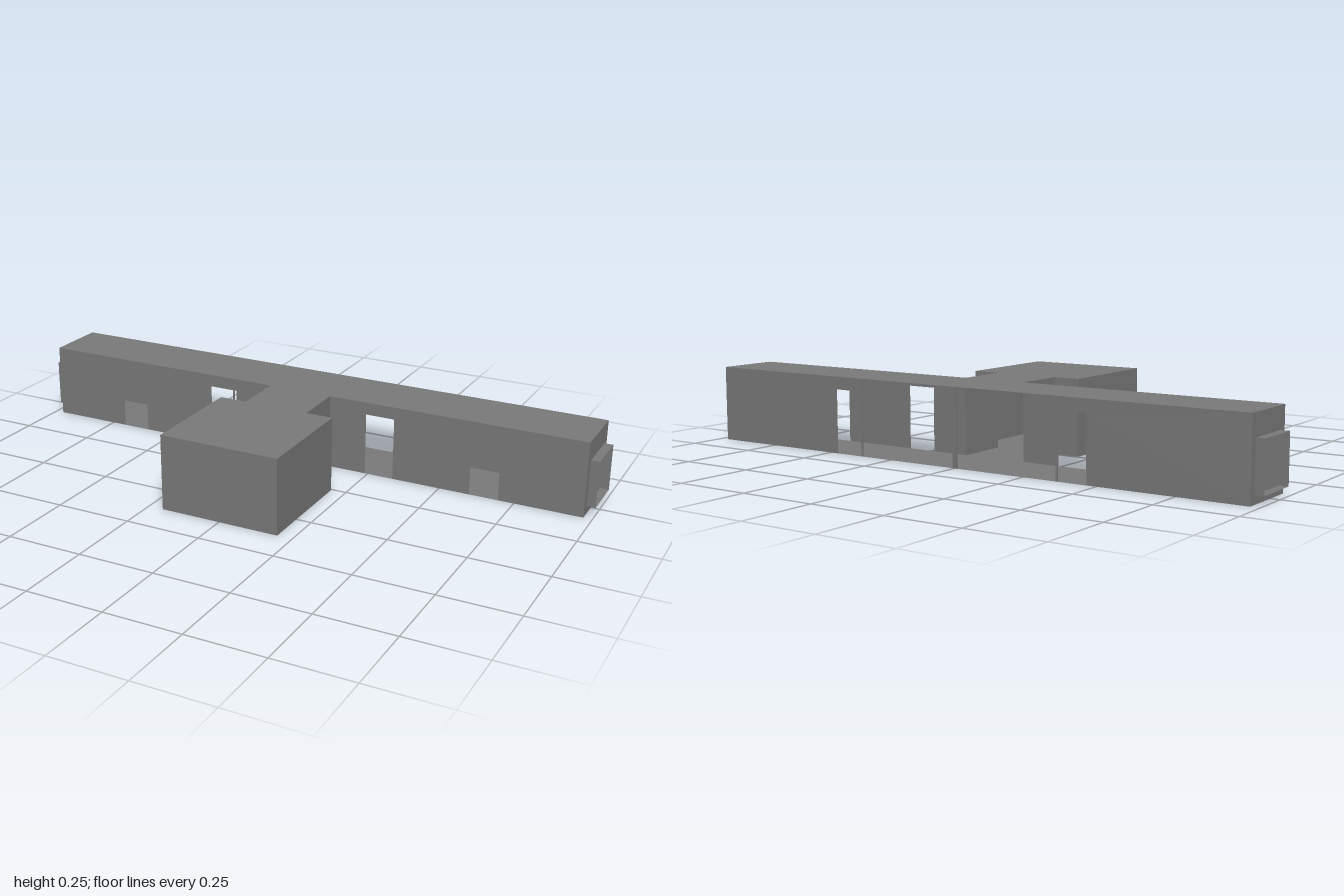
import * as THREE from 'three';

const H = 0.248, DOOR = 0.207;         // wall and door heights
const HALF = 0.972;                    // half length of the long hall
const BACK = -0.376, FRONT = -0.168;   // hall depth range
const NECK = 0.11, ROOM = 0.2, ROOM_BACK = 0.005, ROOM_FRONT = 0.377;

const material = new THREE.MeshStandardMaterial({
  color: 0x7b7b7b, flatShading: true, side: THREE.DoubleSide,
});

function outline(points) {
  return new THREE.Shape(points.map(([x, y]) => new THREE.Vector2(x, y)));
}

function mesh(name, geometry) {
  const m = new THREE.Mesh(geometry, material);
  m.name = name;
  return m;
}

// Upright sheet facing z, from x0 to x1, with door notches cut up from the floor
function wallX(name, x0, x1, z, doors = []) {
  const pts = [[x0, 0]];
  for (const [a, b] of doors) pts.push([a, 0], [a, DOOR], [b, DOOR], [b, 0]);
  pts.push([x1, 0], [x1, H], [x0, H]);
  const m = mesh(name, new THREE.ShapeGeometry(outline(pts)));
  m.position.z = z;
  return m;
}

// Upright sheet facing x, from z0 to z1, with an optional rectangular opening
function wallZ(name, z0, z1, x, hole) {
  const shape = outline([[-z1, 0], [-z0, 0], [-z0, H], [-z1, H]]);
  if (hole) {
    const { near, far, low, high } = hole;
    shape.holes.push(outline([[-near, low], [-near, high], [-far, high], [-far, low]]));
  }
  const m = mesh(name, new THREE.ShapeGeometry(shape).rotateY(Math.PI / 2));
  m.position.x = x;
  return m;
}

// T-shaped horizontal sheet for floor and roof
function slab(name, y) {
  const right = [
    [HALF, BACK], [HALF, FRONT], [NECK, FRONT], [NECK, ROOM_BACK],
    [ROOM, ROOM_BACK], [ROOM, ROOM_FRONT],
  ];
  const left = right.map(([x, z]) => [-x, z]).reverse();
  const shape = outline([...right, ...left].map(([x, z]) => [x, -z]));
  const m = mesh(name, new THREE.ShapeGeometry(shape).rotateX(-Math.PI / 2));
  m.position.y = y;
  return m;
}

function post(name, x, width, depth) {
  const m = mesh(name, new THREE.BoxGeometry(width, H, depth));
  m.position.set(x, H / 2, BACK + depth / 2);
  return m;
}

// Everything that exists once on each side
function sideHalf() {
  const half = new THREE.Group();
  const hole = { near: -0.195, far: -0.35, low: 0.027, high: 0.18 };
  half.add(
    wallX('hallFrontWall', NECK, HALF, FRONT, [[0.24, 0.338], [0.602, 0.698]]),
    wallX('hallBackWall', 0.364, HALF, BACK, [[0.37, 0.468]]),
    wallZ('hallEndWall', BACK, FRONT, HALF, hole),
    wallZ('neckWall', FRONT, ROOM_BACK, NECK),
    wallX('roomBackWall', NECK, ROOM, ROOM_BACK),
    wallZ('roomSideWall', ROOM_BACK, ROOM_FRONT, ROOM),
    post('sidePost', 0.367, 0.006, 0.004),
  );

  // Short open sleeve around the end opening
  const sleeve = new THREE.Group();
  sleeve.name = 'endSleeve';
  const depth = 1 - HALF, w = hole.near - hole.far, h = hole.high - hole.low;
  for (const y of [hole.low, hole.high]) {
    const m = mesh('sleevePlate', new THREE.PlaneGeometry(depth, w).rotateX(-Math.PI / 2));
    m.position.set(HALF + depth / 2, y, (hole.near + hole.far) / 2);
    sleeve.add(m);
  }
  for (const z of [hole.near, hole.far]) {
    const m = mesh('sleeveSide', new THREE.PlaneGeometry(depth, h));
    m.position.set(HALF + depth / 2, (hole.low + hole.high) / 2, z);
    sleeve.add(m);
  }
  half.add(sleeve);
  return half;
}

export function createModel() {
  const model = new THREE.Group();
  model.name = 'corridorBuilding';

  model.add(slab('floor', 0), slab('roof', H));
  model.add(wallX('roomFrontWall', -ROOM, ROOM, ROOM_FRONT));
  model.add(post('centrePost', 0, 0.014, 0.008));

  for (const side of [1, -1]) {
    const half = sideHalf();
    half.name = side > 0 ? 'leftHalf' : 'rightHalf';
    half.scale.x = side;
    model.add(half);
  }
  return model;
}
